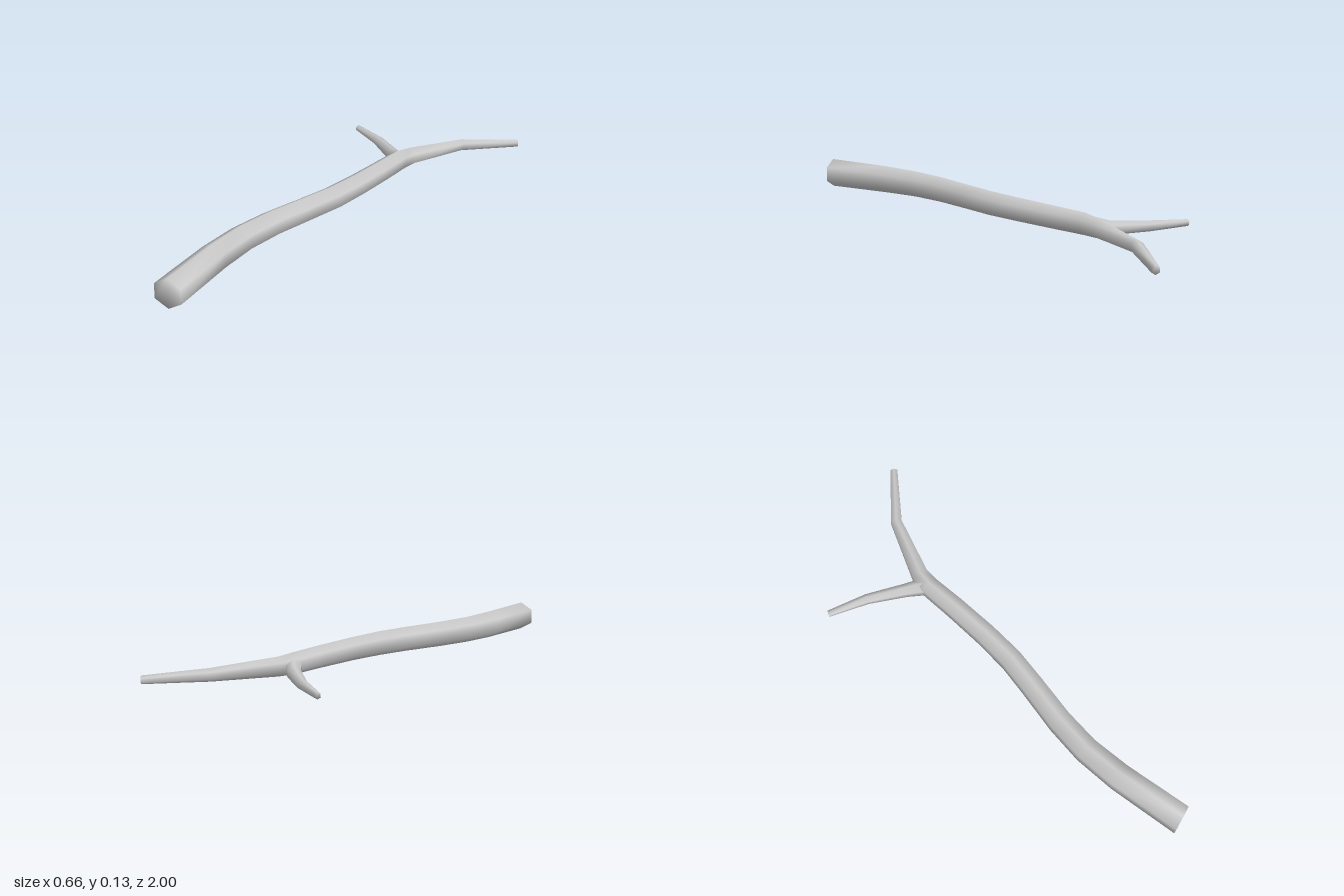
import * as THREE from 'three';

const SIDES = 6;

// Tapered six-sided limb through stations [x, y, z, radius], capped at both ends.
function limb(name, stations, startDir) {
  const pts = stations.map(s => new THREE.Vector3(s[0], s[1], s[2]));
  const up = new THREE.Vector3(0, 1, 0);
  const positions = [], index = [];
  const last = pts.length - 1;

  pts.forEach((p, i) => {
    // tangent bisects the neighbouring segments, so rings are mitred
    const dir = new THREE.Vector3();
    if (i > 0) dir.add(p.clone().sub(pts[i - 1]).normalize());
    if (i < last) dir.add(pts[i + 1].clone().sub(p).normalize());
    if (i === 0 && startDir) dir.set(...startDir);
    dir.y = 0;
    dir.normalize();
    const side = new THREE.Vector3().crossVectors(dir, up);
    for (let k = 0; k < SIDES; k++) {
      const a = Math.PI / 2 + k * 2 * Math.PI / SIDES;
      const v = p.clone()
        .addScaledVector(side, Math.cos(a) * stations[i][3])
        .addScaledVector(up, Math.sin(a) * stations[i][3]);
      positions.push(v.x, v.y, v.z);
    }
  });

  // walls
  for (let i = 0; i < last; i++) {
    for (let k = 0; k < SIDES; k++) {
      const a = i * SIDES + k, b = i * SIDES + (k + 1) % SIDES;
      index.push(a, b, b + SIDES, a, b + SIDES, a + SIDES);
    }
  }
  // end caps share the ring vertices, so shading rolls softly over the rim
  const e = last * SIDES;
  for (let k = 1; k < SIDES - 1; k++) {
    index.push(0, k + 1, k);
    index.push(e, e + k, e + k + 1);
  }

  const geo = new THREE.BufferGeometry();
  geo.setAttribute('position', new THREE.Float32BufferAttribute(positions, 3));
  geo.setIndex(index);
  geo.computeVertexNormals();
  const mesh = new THREE.Mesh(geo, new THREE.MeshStandardMaterial({ color: 0xcccccc, side: THREE.DoubleSide }));
  mesh.name = name;
  return mesh;
}

export function createModel() {
  const group = new THREE.Group();
  group.name = 'forkedStick';

  // Winding main stem running on into the longer twig
  group.add(limb('stem', [
    [0.187, 0.067, 0.978, 0.062],
    [0.118, 0.067, 0.69, 0.059],
    [0.092, 0.067, 0.52, 0.056],
    [0.091, 0.067, 0.36, 0.054],
    [0.107, 0.066, 0.17, 0.052],
    [0.116, 0.064, 0.03, 0.051],
    [0.109, 0.061, -0.12, 0.049],
    [0.091, 0.056, -0.30, 0.047],
    [0.072, 0.051, -0.45, 0.045],
    [0.077, 0.047, -0.52, 0.040],
    [0.160, 0.038, -0.78, 0.027],
    [0.316, 0.023, -0.991, 0.017],
  ], [-0.34, 0, -0.94]));

  // Shorter side twig growing out of the fork
  group.add(limb('sideTwig', [
    [0.078, 0.050, -0.445, 0.040],
    [0.048, 0.043, -0.472, 0.037],
    [-0.010, 0.031, -0.508, 0.029],
    [-0.160, 0.026, -0.585, 0.022],
    [-0.325, 0.020, -0.640, 0.014],
  ]));

  return group;
}
